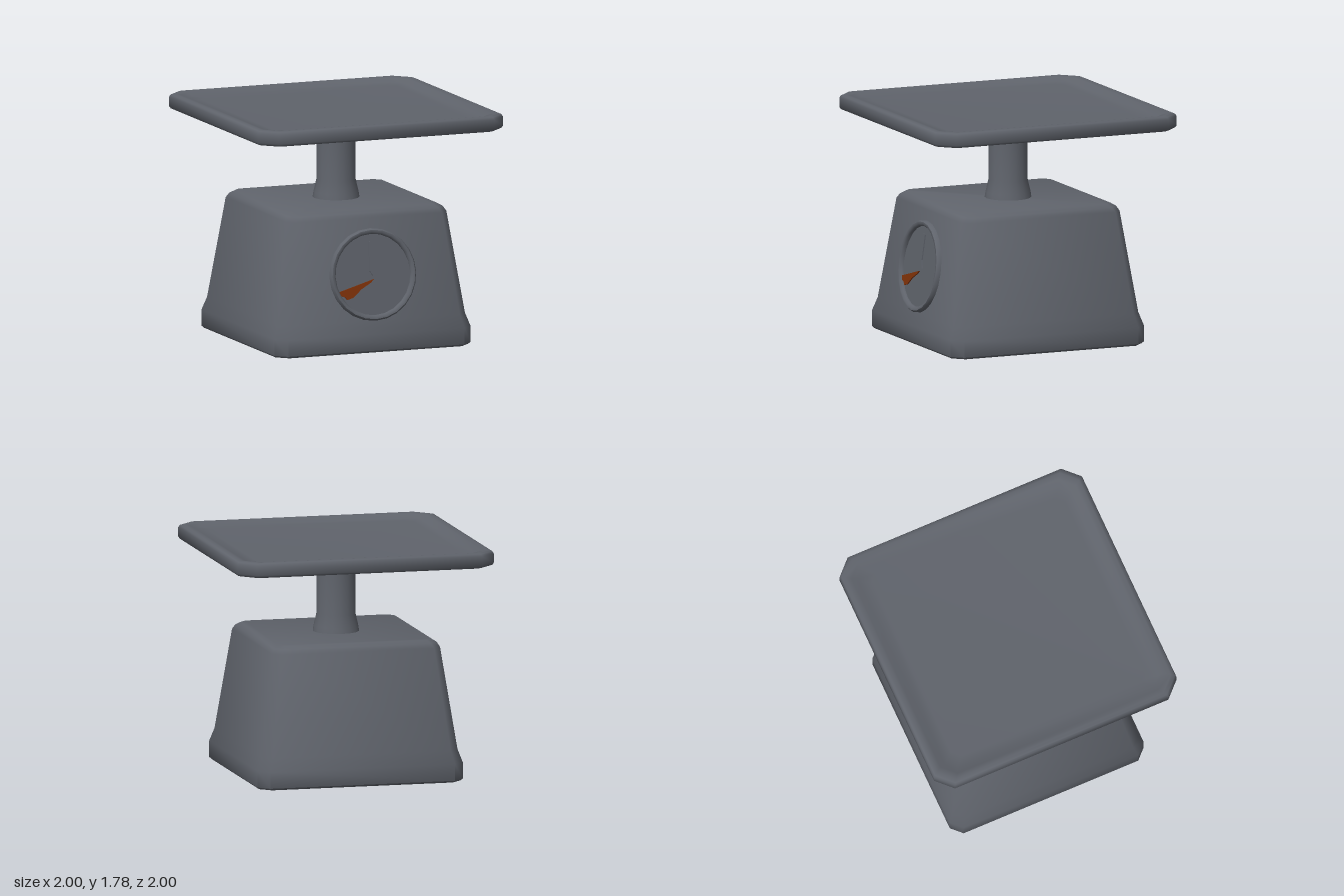
import * as THREE from 'three';
import { toCreasedNormals } from 'three/addons/utils/BufferGeometryUtils.js';

// Closed solid from stacked square loops with cut corners; each section is [halfWidth, cornerCut, y]
function loftSquares(sections) {
  const pos = [], idx = [];
  for (const [h, c, y] of sections) {
    const i = h - c;
    for (const [x, z] of [[h, -i], [h, i], [i, h], [-i, h], [-h, i], [-h, -i], [-i, -h], [i, -h]]) pos.push(x, y, z);
  }
  const last = (sections.length - 1) * 8;
  for (let s = 0; s < last; s += 8) {
    for (let k = 0; k < 8; k++) {
      const n = (k + 1) % 8;
      idx.push(s + k, s + 8 + k, s + 8 + n, s + k, s + 8 + n, s + n);
    }
  }
  for (let k = 1; k < 7; k++) {
    idx.push(0, k, k + 1);
    idx.push(last, last + k + 1, last + k);
  }
  const geo = new THREE.BufferGeometry();
  geo.setAttribute('position', new THREE.Float32BufferAttribute(pos, 3));
  geo.setIndex(idx);
  return toCreasedNormals(geo, 1.0);
}

// Thin flat plate cut from an outline
function plate(points) {
  const shape = new THREE.Shape(points.map(([x, y]) => new THREE.Vector2(x, y)));
  return new THREE.ExtrudeGeometry(shape, { depth: 0.009, bevelEnabled: false });
}

function lathe(points, sides) {
  const geo = new THREE.LatheGeometry(points.map(([r, y]) => new THREE.Vector2(r, y)), sides);
  return toCreasedNormals(geo, 0.9);
}

export function createModel() {
  const model = new THREE.Group();
  model.name = 'kitchenScale';

  const grey = new THREE.MeshStandardMaterial({ color: 0x5f636b });
  grey.name = 'slate grey';
  const rust = new THREE.MeshStandardMaterial({ color: 0x803208 });
  rust.name = 'rust orange';

  const add = (parent, name, geometry, material) => {
    const mesh = new THREE.Mesh(geometry, material);
    mesh.name = name;
    parent.add(mesh);
    return mesh;
  };

  // Tapered housing with a straight skirt and softened top edge
  add(model, 'housing', loftSquares([
    [0.785, 0.08, 0], [0.8, 0.08, 0.015], [0.8, 0.08, 0.14], [0.765, 0.07, 0.24],
    [0.655, 0.06, 1.01], [0.635, 0.06, 1.045], [0.6, 0.05, 1.067],
  ]), grey);

  // Flared post carrying the pan
  add(model, 'post', lathe([[0.178, 1.06], [0.17, 1.11], [0.149, 1.2], [0.147, 1.68]], 16), grey);

  // Square weighing pan with a low rim around a flat floor
  add(model, 'pan', loftSquares([
    [0.965, 0.11, 1.66], [0.99, 0.118, 1.668], [1, 0.12, 1.685], [1, 0.12, 1.755],
    [0.99, 0.118, 1.773], [0.965, 0.11, 1.78], [0.925, 0.1, 1.774], [0.88, 0.07, 1.748],
    [0.8, 0.06, 1.742],
  ]), grey);

  // Dial leaning back with the front wall
  const dial = new THREE.Group();
  dial.name = 'dial';
  dial.position.set(0, 0.585, 0.7157);
  dial.rotation.x = -0.1419;
  model.add(dial);

  const ring = add(dial, 'dialRing', lathe([
    [0.35, -0.02], [0.35, 0.02], [0.338, 0.036], [0.322, 0.036], [0.308, 0.022], [0.308, 0],
  ], 24), grey);
  ring.rotation.x = Math.PI / 2;

  const face = add(dial, 'dialFace', new THREE.CircleGeometry(0.31, 24), grey);
  face.position.z = 0.004;

  // Upright zero marker
  const marker = add(dial, 'zeroMarker', plate([
    [-0.025, 0.03], [0.0, -0.01], [0.04, -0.01], [0.018, 0.05], [0.018, 0.248], [-0.02, 0.248],
  ]), grey);
  marker.position.z = 0.006;

  // Pointer swung to the lower side
  const pointer = add(dial, 'pointer', plate([
    [0.005, -0.035], [-0.1, -0.065], [-0.295, -0.12], [-0.29, -0.145],
    [-0.24, -0.155], [-0.22, -0.18], [-0.17, -0.165], [-0.1, -0.105], [-0.02, -0.06],
  ]), rust);
  pointer.position.z = 0.01;

  return model;
}
